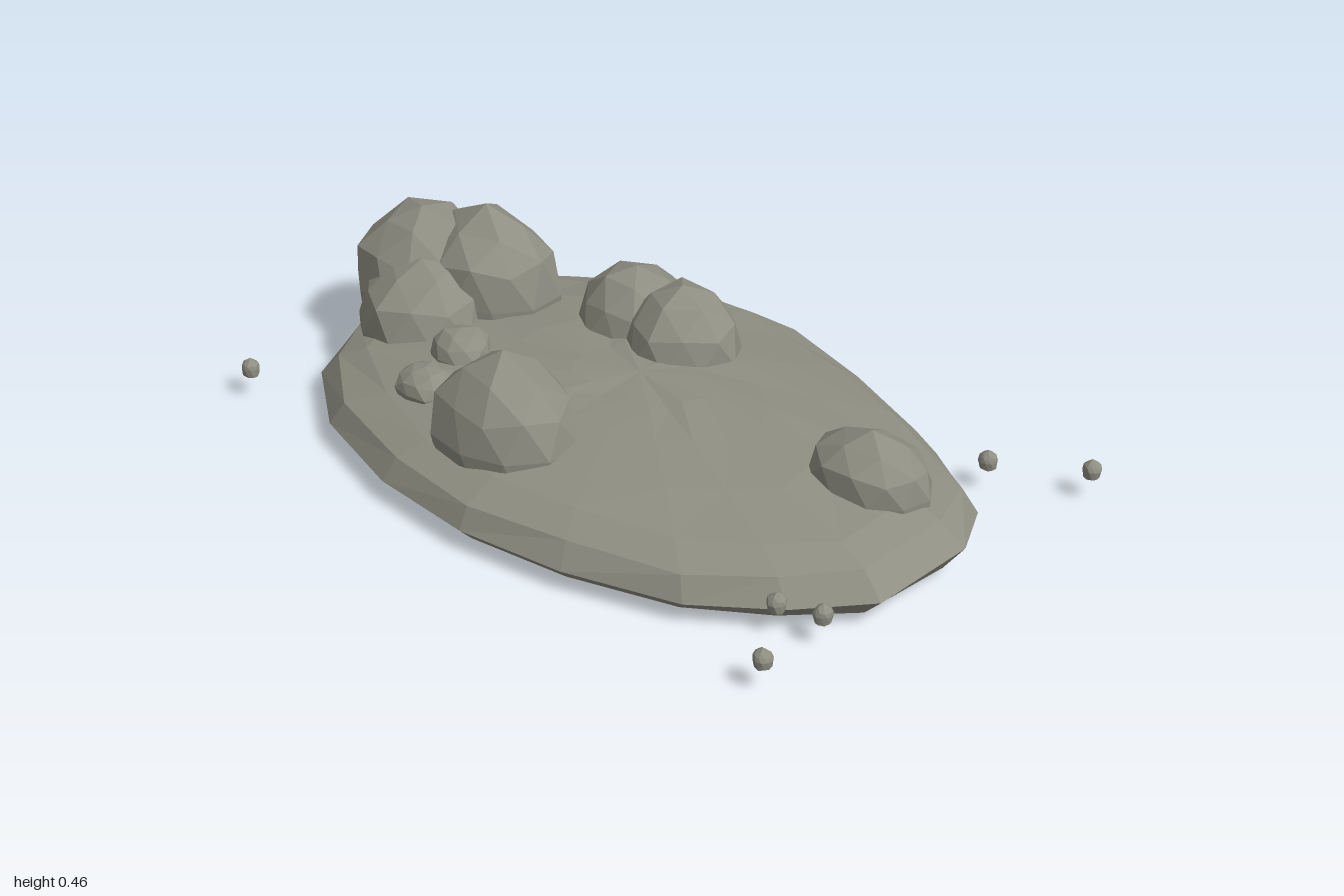
import * as THREE from 'three';

const stone = new THREE.MeshStandardMaterial({ color: 0x8e8e82, flatShading: true });
stone.name = 'grey stone';

// Repeatable value in -1..1 for a point, so shared corners move together
function noise(x, y, z, seed) {
  const n = Math.sin(x * 12.9 + y * 78.2 + z * 37.7 + seed * 5.3) * 4375.85;
  return (n - Math.floor(n)) * 2 - 1;
}

function addMesh(group, name, geometry) {
  const mesh = new THREE.Mesh(geometry, stone);
  mesh.name = name;
  group.add(mesh);
  return mesh;
}

// Low dome with an uneven outline: x, z and height of the rim
function moundGeometry() {
  const rim = [
    [0.97, -0.1, 0.1], [0.87, -0.28, 0.07], [0.6, -0.46, 0.04], [0.3, -0.57, 0.03],
    [0, -0.63, 0.025], [-0.15, -0.64, 0.025], [-0.44, -0.575, 0.04], [-0.65, -0.42, 0.05],
    [-0.83, -0.26, 0.06], [-0.93, 0, 0.06], [-0.9, 0.2, 0.05], [-0.81, 0.37, 0.06],
    [-0.6, 0.525, 0.06], [-0.3, 0.615, 0.06], [0, 0.635, 0.06], [0.3, 0.59, 0.06],
    [0.6, 0.49, 0.06], [0.8, 0.35, 0.07], [0.95, 0.19, 0.08],
  ];
  // Ring scale and share of the climb from rim to summit; negative rings lie on the base
  const rings = [[0, -1], [0.94, -1], [1, 0], [0.94, 0.36], [0.83, 0.57], [0.6, 0.78], [0.4, 0.9], [0.2, 0.97], [0, 1]];
  const n = rim.length, pos = [], index = [];
  rings.forEach(([s, f], r) => rim.forEach(([x, z, h], i) => {
    const inner = r > 2 && s > 0;
    const k = s + (inner ? 0.02 * noise(i, r, 0, 1) : 0);
    const scale = r === 1 && z < -0.3 ? 0.995 : k;
    const y = f < 0 ? 0.02 : h + (0.235 - h) * f + (inner ? 0.005 * noise(i, r, 1, 2) : 0);
    pos.push(x * scale, y, z * scale);
    if (r === rings.length - 1) return;
    const a = r * n + i, b = r * n + (i + 1) % n;
    if (s > 0) index.push(a, b, rings[r + 1][0] > 0 ? b + n : a + n);
    if (rings[r + 1][0] > 0) index.push(a, b + n, a + n);
  }));
  const g = new THREE.BufferGeometry();
  g.setAttribute('position', new THREE.Float32BufferAttribute(pos, 3));
  g.setIndex(index);
  g.computeVertexNormals();
  return g;
}

// Faceted rock with a corner at the peak and a flat underside at "floor"
function boulderGeometry({ at: [x, y, z], r: [rx, rz], top, floor, peak = 1, seed, detail = 1 }) {
  const g = new THREE.IcosahedronGeometry(1, detail);
  g.rotateZ(Math.atan2(1, (1 + Math.sqrt(5)) / 2));
  g.rotateY(seed * 0.7);
  const p = g.attributes.position, v = new THREE.Vector3();
  for (let i = 0; i < p.count; i++) {
    v.fromBufferAttribute(p, i);
    const q = v.toArray().map((c) => Math.round(c * 100) / 100 + 0);
    v.multiplyScalar(1 + 0.06 * noise(...q, seed));
    const up = q[1] > 0.95 ? 1 : v.y * peak;
    const height = v.y > 0 ? y + up * (top - y) : Math.max(floor, y + v.y * (y - floor) * 2);
    p.setXYZ(i, x + v.x * rx, height, z + v.z * rz);
  }
  g.computeVertexNormals();
  return g;
}

export function createModel() {
  const model = new THREE.Group();
  model.name = 'rockyIslet';
  addMesh(model, 'mound', moundGeometry());

  // Large boulders that reach down through the mound
  const boulders = [
    ['frontBoulder', { at: [-0.11, 0.19, 0.37], r: [0.2, 0.17], top: 0.41, floor: 0.01, peak: 0.85, seed: 1 }],
    ['sideBoulderTall', { at: [-0.635, 0.22, -0.08], r: [0.205, 0.175], top: 0.455, floor: 0.005, peak: 0.9, seed: 2 }],
    ['sideBoulderOuter', { at: [-0.8, 0.2, 0.0], r: [0.195, 0.18], top: 0.42, floor: 0.005, seed: 3 }],
    ['sideBoulderLow', { at: [-0.7, 0.16, 0.1], r: [0.18, 0.17], top: 0.335, floor: 0.0, seed: 4 }],
    ['backBoulderA', { at: [-0.22, 0.2, -0.22], r: [0.16, 0.155], top: 0.37, floor: 0.01, seed: 5 }],
    ['backBoulderB', { at: [-0.05, 0.2, -0.21], r: [0.165, 0.16], top: 0.38, floor: 0.01, peak: 0.95, seed: 6 }],
    ['endBoulder', { at: [0.69, 0.18, -0.08], r: [0.17, 0.13], top: 0.32, floor: 0.05, peak: 0.9, seed: 7 }],
    ['smallRockA', { at: [-0.45, 0.2, 0.195], r: [0.088, 0.08], top: 0.265, floor: 0.15, seed: 8 }],
    ['smallRockB', { at: [-0.41, 0.18, 0.355], r: [0.09, 0.075], top: 0.235, floor: 0.14, seed: 9 }],
  ];
  boulders.forEach(([name, spec]) => addMesh(model, name, boulderGeometry(spec)));

  // Loose pebbles around the rim
  const pebbles = [
    [-0.915, -0.37], [-0.93, 0.51], [0.97, -0.61], [0.757, -0.465],
    [0.778, 0.36], [0.885, 0.32], [0.898, 0.545], [-0.73, -0.265],
  ];
  pebbles.forEach(([x, z], i) => addMesh(model, 'pebble', boulderGeometry({
    at: [x, 0.088, z], r: [0.025, 0.024], top: 0.116, floor: 0.065, peak: 0.8, seed: 11 + i,
  })));
  return model;
}
